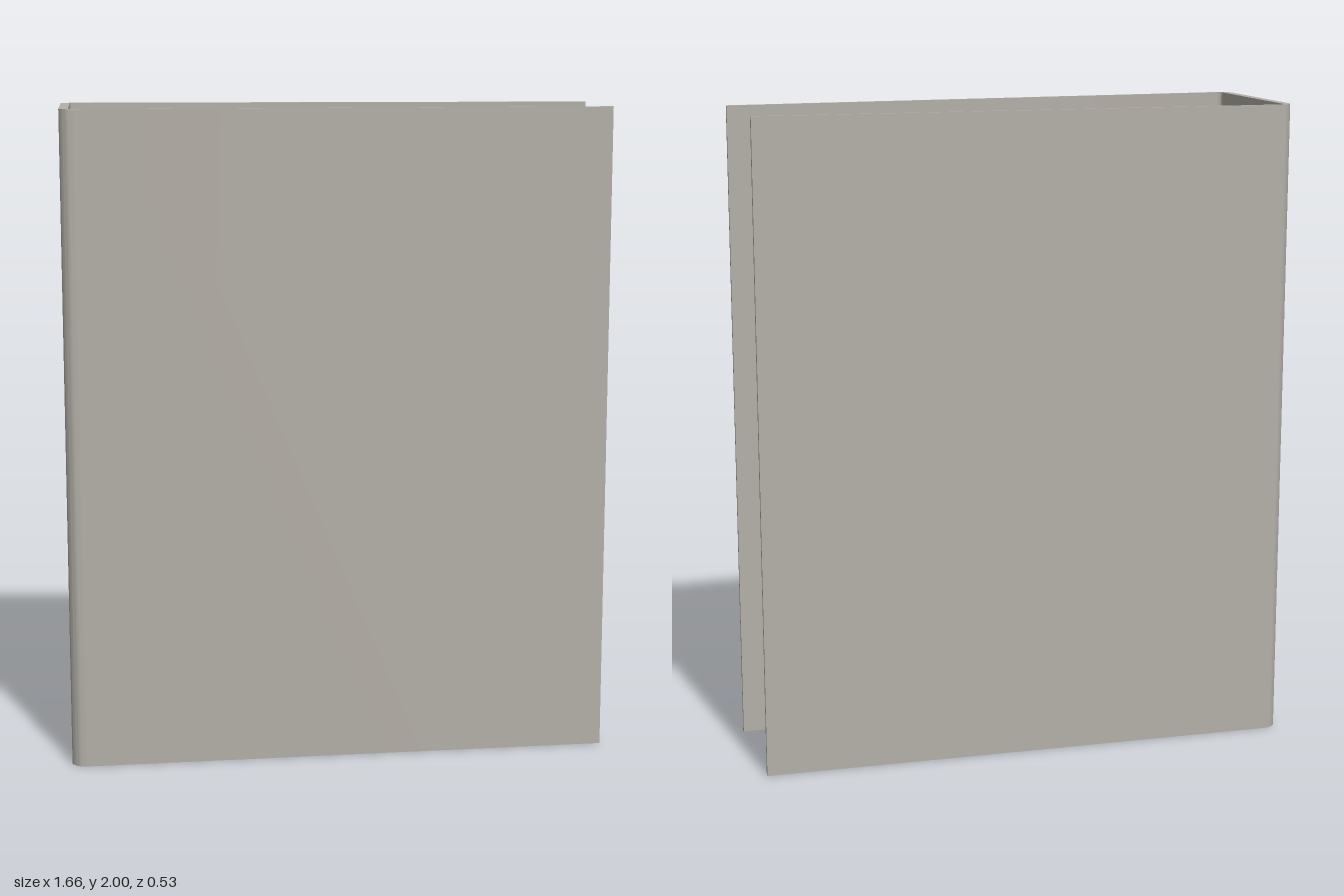
import * as THREE from 'three';
import { toCreasedNormals } from 'three/addons/utils/BufferGeometryUtils.js';

// Upright extrusion of a plan drawn in x/z (plans are symmetric in z)
function extrudeUp(shape, y0, y1) {
  const geo = new THREE.ExtrudeGeometry(shape, { depth: y1 - y0, bevelEnabled: false, curveSegments: 8 });
  geo.rotateX(-Math.PI / 2);
  geo.translate(0, y0, 0);
  return toCreasedNormals(geo, 0.6);
}

export function createModel() {
  const group = new THREE.Group();
  const grey = new THREE.MeshStandardMaterial({ color: 0xb4b0a8 });
  grey.name = 'warm grey';
  const dark = new THREE.MeshStandardMaterial({ color: 0x5a5955 });
  dark.name = 'dark grey';

  const add = (name, geo, mat) => {
    const mesh = new THREE.Mesh(geo, mat);
    mesh.name = name;
    group.add(mesh);
    return mesh;
  };

  // Cover: thin wrap with rounded spine corners, boards tapering to the open edge
  const wrap = new THREE.Shape();
  wrap.moveTo(0.83, -0.204);
  wrap.lineTo(0.83, -0.193);
  wrap.lineTo(-0.785, -0.254);
  wrap.quadraticCurveTo(-0.802, -0.254, -0.802, -0.238);
  wrap.lineTo(-0.802, 0.238);
  wrap.quadraticCurveTo(-0.802, 0.254, -0.785, 0.254);
  wrap.lineTo(0.83, 0.193);
  wrap.lineTo(0.83, 0.204);
  wrap.lineTo(-0.785, 0.264);
  wrap.quadraticCurveTo(-0.806, 0.264, -0.818, 0.25);
  wrap.quadraticCurveTo(-0.83, 0.238, -0.83, 0.222);
  wrap.lineTo(-0.83, -0.222);
  wrap.quadraticCurveTo(-0.83, -0.238, -0.818, -0.25);
  wrap.quadraticCurveTo(-0.806, -0.264, -0.785, -0.264);
  wrap.closePath();
  add('cover', extrudeUp(wrap, 0, 2), grey);

  // Page block: wedge filling the space between the boards, inset at three edges
  const pages = new THREE.Shape();
  pages.moveTo(-0.802, -0.253);
  pages.lineTo(0.725, -0.197);
  pages.lineTo(0.725, 0.197);
  pages.lineTo(-0.802, 0.253);
  pages.closePath();
  add('pageBlock', extrudeUp(pages, 0.125, 1.88), grey);

  // Two small round studs on the spine
  for (const y of [0.16, 1.84]) {
    const stud = add('spineStud', new THREE.CylinderGeometry(0.021, 0.021, 0.006, 16), dark);
    stud.rotation.z = Math.PI / 2;
    stud.position.set(-0.83, y, 0);
  }
  return group;
}
